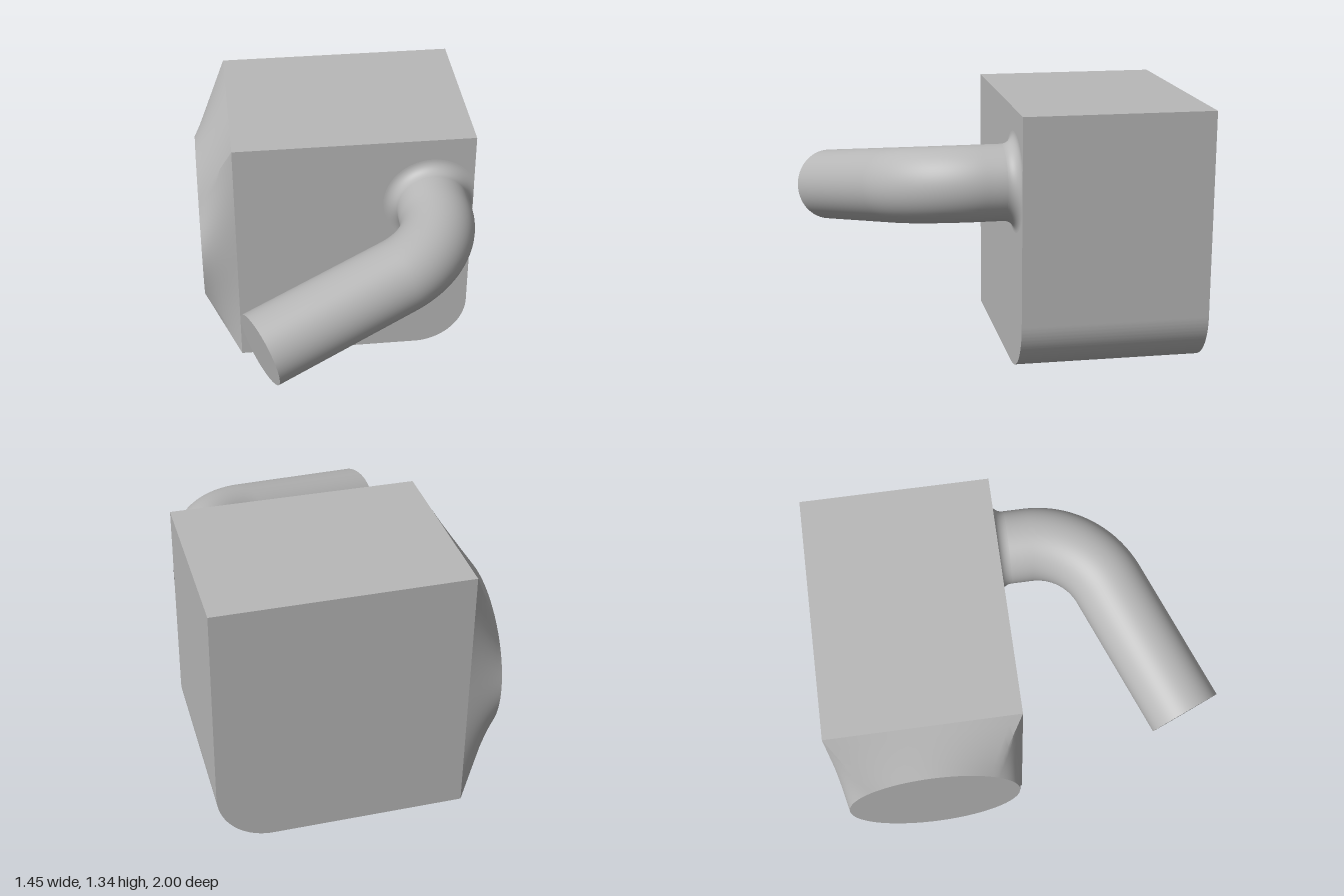
import * as THREE from 'three';
import { toCreasedNormals } from 'three/addons/utils/BufferGeometryUtils.js';

const X0 = -0.54, X1 = 0.72, TOP = 1.335, BACK = -1, FRONT = -0.04;

export function createModel() {
  const grey = new THREE.MeshStandardMaterial({ color: 0xb8b8b8 });
  grey.name = 'plain grey';
  const model = new THREE.Group();
  model.name = 'ductBlock';
  const add = (name, geometry) => {
    const mesh = new THREE.Mesh(geometry, grey);
    mesh.name = name;
    model.add(mesh);
    return mesh;
  };

  // Block with one rounded lower edge
  const r = 0.28;
  const outline = new THREE.Shape();
  outline.moveTo(X0, 0);
  outline.lineTo(X1 - r, 0);
  outline.absarc(X1 - r, r, r, -Math.PI / 2, 0, false);
  outline.lineTo(X1, TOP);
  outline.lineTo(X0, TOP);
  const block = new THREE.ExtrudeGeometry(outline, { depth: FRONT - BACK, bevelEnabled: false, curveSegments: 32 });
  block.translate(0, 0, BACK);
  add('block', toCreasedNormals(block, 0.5));

  // Side port: square-to-round transition, ruled between rectangle and circle
  const capX = -0.725, capY = 0.627, capZ = -0.52, capR = 0.443;
  const corners = [[FRONT, TOP], [BACK, TOP], [BACK, 0], [FRONT, 0]];
  const steps = 20, rows = 6, total = steps * 4;
  const pos = [], idx = [];
  for (let j = 0; j <= rows; j++) {
    const t = j / rows;
    for (let i = 0; i <= total; i++) {
      const side = Math.floor(i / steps) % 4, f = (i % steps) / steps;
      const a = corners[side], b = corners[(side + 1) % 4];
      const ang = Math.PI / 4 + (i / total) * Math.PI * 2;
      const z = THREE.MathUtils.lerp(a[0] + (b[0] - a[0]) * f, capZ + capR * Math.cos(ang), t);
      const y = THREE.MathUtils.lerp(a[1] + (b[1] - a[1]) * f, capY + capR * Math.sin(ang), t);
      pos.push(X0 + (capX - X0) * t, y, z);
      if (j < rows && i < total) {
        const p = j * (total + 1) + i, q = p + total + 1;
        idx.push(p, p + 1, q, p + 1, q + 1, q);
      }
    }
  }
  // Winding must face away from the port axis
  for (let k = 0; k < idx.length; k += 3) {
    const [A, B, C] = [0, 1, 2].map((n) => new THREE.Vector3().fromArray(pos, idx[k + n] * 3));
    const n = B.clone().sub(A).cross(C.clone().sub(A));
    if (n.dot(A.clone().sub(new THREE.Vector3(A.x, capY, capZ))) < 0) {
      [idx[k + 1], idx[k + 2]] = [idx[k + 2], idx[k + 1]];
    }
  }
  const port = new THREE.BufferGeometry();
  port.setAttribute('position', new THREE.Float32BufferAttribute(pos, 3));
  port.setIndex(idx);
  add('portTransition', toCreasedNormals(port, 0.6));

  const portFace = new THREE.CircleGeometry(capR, total);
  portFace.rotateY(-Math.PI / 2);
  portFace.translate(capX, capY, capZ);
  add('portFace', portFace);

  // Bent pipe: straight stub, circular bend, straight run
  const pipeR = 0.191, bendR = 0.425;
  const start = new THREE.Vector3(0.495, 0.966, FRONT);
  const corner = new THREE.Vector3(0.495, 0.966, 0.415);
  const end = new THREE.Vector3(-0.47, 0.755, 0.822);
  const inDir = new THREE.Vector3(0, 0, 1);
  const outDir = end.clone().sub(corner).normalize();
  const turn = inDir.angleTo(outDir);
  const cut = bendR * Math.tan(turn / 2), handle = (4 / 3) * Math.tan(turn / 4) * bendR;
  const bendIn = corner.clone().addScaledVector(inDir, -cut);
  const bendOut = corner.clone().addScaledVector(outDir, cut);
  const path = new THREE.CurvePath();
  path.add(new THREE.LineCurve3(start, bendIn));
  path.add(new THREE.CubicBezierCurve3(bendIn, bendIn.clone().addScaledVector(inDir, handle),
    bendOut.clone().addScaledVector(outDir, -handle), bendOut));
  path.add(new THREE.LineCurve3(bendOut, end));
  add('pipe', new THREE.TubeGeometry(path, 90, pipeR, 64, false));

  const pipeEnd = add('pipeEnd', new THREE.CircleGeometry(pipeR, 64));
  pipeEnd.position.copy(end);
  pipeEnd.quaternion.setFromUnitVectors(inDir, outDir);

  // Fillet where the pipe meets the block, trimmed at the block's side
  const f = 0.062, profile = [];
  for (let i = 0; i <= 12; i++) {
    const a = (i / 12) * Math.PI / 2;
    profile.push(new THREE.Vector2(pipeR + f * (1 - Math.sin(a)), f * (1 - Math.cos(a))));
  }
  const fillet = new THREE.LatheGeometry(profile, 96);
  fillet.rotateX(Math.PI / 2);
  fillet.translate(start.x, start.y, start.z);
  const fp = fillet.attributes.position;
  for (let i = 0; i < fp.count; i++) fp.setX(i, Math.min(fp.getX(i), X1));
  add('pipeFillet', fillet);

  return model;
}
